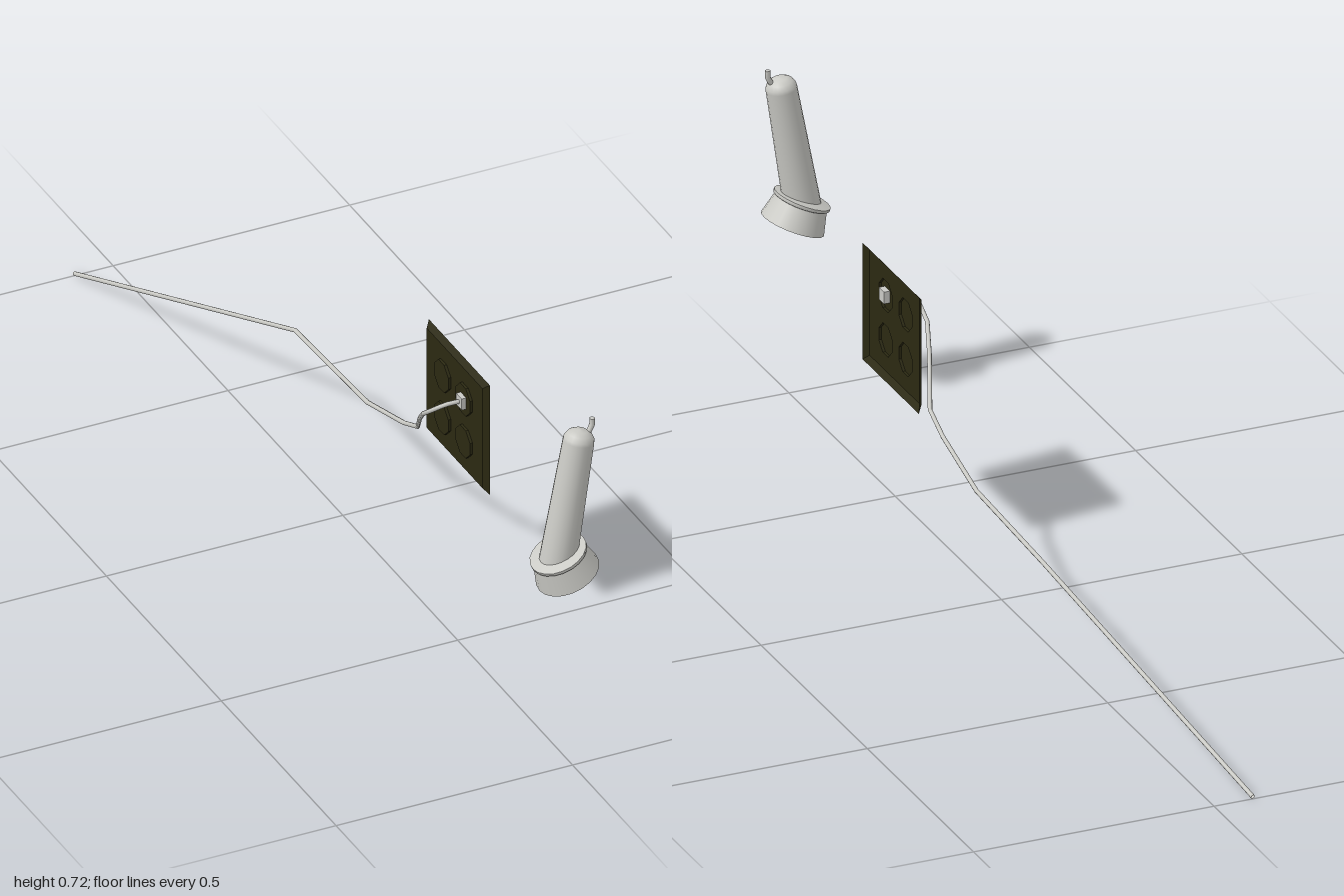
import * as THREE from 'three';

// Straight-segment path whose corners are mitred when swept as a tube
class Polyline extends THREE.Curve {
  constructor(points) {
    super();
    this.points = points.map((p) => new THREE.Vector3(...p));
  }
  getPoint(t, target = new THREE.Vector3()) {
    const n = this.points.length - 1;
    const i = Math.min(Math.floor(t * n + 1e-6), n - 1);
    return target.lerpVectors(this.points[i], this.points[i + 1], t * n - i);
  }
  getPointAt(t, target) { return this.getPoint(t, target); }
  getTangentAt(t, target = new THREE.Vector3()) {
    const p = this.points, n = p.length - 1, i = Math.round(t * n);
    const step = (a) => new THREE.Vector3().subVectors(p[a + 1], p[a]).normalize();
    return target.copy(step(Math.max(i - 1, 0))).add(step(Math.min(i, n - 1))).normalize();
  }
}

export function createModel() {
  const model = new THREE.Group();
  const grey = new THREE.MeshStandardMaterial({ color: 0xcacac5, side: THREE.DoubleSide });
  grey.name = 'pale grey';
  const olive = new THREE.MeshStandardMaterial({ color: 0x2b2912, side: THREE.DoubleSide });
  olive.name = 'dark olive';

  const add = (parent, name, geometry, material, position = [0, 0, 0]) => {
    const mesh = new THREE.Mesh(geometry, material);
    mesh.name = name;
    mesh.position.set(...position);
    parent.add(mesh);
    return mesh;
  };
  const lathe = (points, sides) =>
    new THREE.LatheGeometry(points.map((p) => new THREE.Vector2(...p)), sides);
  const sweep = (points, radius, sides) =>
    new THREE.TubeGeometry(new Polyline(points), points.length - 1, radius, sides);

  // Handheld piece: domed handle, tilted collar and open flared cup
  const handset = new THREE.Group();
  handset.name = 'handset';
  handset.position.z = 0.935;
  model.add(handset);

  const handleGeometry = lathe([
    [0.036, 0], [0.0305, 0.243], [0.0295, 0.25], [0.024, 0.259], [0.014, 0.265], [0, 0.267],
  ], 20);
  // Slant the handle's lower end to meet the tilted collar
  const pos = handleGeometry.attributes.position;
  for (let i = 0; i < pos.count; i++) {
    if (pos.getY(i) < 0.001) pos.setY(i, pos.getX(i) * 0.62);
  }
  const handle = add(handset, 'handle', handleGeometry, grey, [0.003, 0.44, 0]);
  handle.rotation.z = -0.171;

  const head = new THREE.Group();
  head.name = 'head';
  head.position.set(0.021, 0.39, 0);
  head.rotation.z = 0.39;
  handset.add(head);
  add(head, 'cup', lathe([[0.0645, 0], [0.053, 0.046]], 20), grey);
  add(head, 'collarEdge', lathe([[0.053, 0.046], [0.0575, 0.048], [0.0575, 0.054]], 20), grey);
  add(head, 'collarTop', lathe([[0.0575, 0.054], [0.035, 0.057]], 20), grey);

  // Little bent stub on top
  add(handset, 'stub', sweep(
    [[0.055, 0.685, 0], [0.067, 0.696, 0], [0.073, 0.708, 0], [0.073, 0.722, 0]], 0.0055, 8), grey);
  const stubCap = add(handset, 'stubCap', new THREE.CircleGeometry(0.0055, 8), grey, [0.073, 0.722, 0]);
  stubCap.rotation.x = -Math.PI / 2;

  // Wall plate: hollow shell facing -x, open at the back
  const plate = new THREE.Group();
  plate.name = 'wallPlate';
  plate.position.set(0.07, 0.4275, 0.363);
  plate.rotation.y = -Math.PI / 2;
  model.add(plate);

  const w = 0.1325, h = 0.1225, inset = 0.011, depth = 0.01;
  const fw = w - inset, fh = h - inset;
  const face = new THREE.Shape([[-fw, -fh], [fw, -fh], [fw, fh], [-fw, fh]]
    .map((p) => new THREE.Vector2(...p)));

  // Four raised octagonal sockets, hollow behind
  const r = 0.031, gap = 0.047, rise = 0.0055;
  for (const sx of [-1, 1]) {
    for (const sy of [-1, 1]) {
      const corners = [];
      for (let i = 0; i < 8; i++) {
        const a = (i + 0.5) * Math.PI / 4;
        const c = r / Math.cos(Math.PI / 8);
        corners.push(new THREE.Vector2(sx * gap + c * Math.cos(a), sy * gap + c * Math.sin(a)));
      }
      face.holes.push(new THREE.Path(corners));
      add(plate, 'socketFace', new THREE.ShapeGeometry(new THREE.Shape(corners)), olive,
        [0, 0, depth + rise]);
      const wall = new THREE.CylinderGeometry(r / Math.cos(Math.PI / 8), r / Math.cos(Math.PI / 8),
        rise, 8, 1, true, Math.PI / 8).toNonIndexed();
      wall.computeVertexNormals();
      wall.rotateX(Math.PI / 2);
      add(plate, 'socketWall', wall, olive, [sx * gap, sy * gap, depth + rise / 2]);
    }
  }
  add(plate, 'plateFace', new THREE.ShapeGeometry(face), olive, [0, 0, depth]);

  // Sloping rim from the face out to the wall
  const outer = [[-w, -h], [w, -h], [w, h], [-w, h]];
  const inner = [[-fw, -fh], [fw, -fh], [fw, fh], [-fw, fh]];
  const rim = [];
  for (let i = 0; i < 4; i++) {
    const j = (i + 1) % 4;
    const a = [...outer[i], 0], b = [...outer[j], 0];
    const c = [...inner[j], depth], d = [...inner[i], depth];
    rim.push(...a, ...b, ...c, ...a, ...c, ...d);
  }
  const rimGeometry = new THREE.BufferGeometry();
  rimGeometry.setAttribute('position', new THREE.Float32BufferAttribute(rim, 3));
  rimGeometry.computeVertexNormals();
  add(plate, 'plateRim', rimGeometry, olive);

  // Plug and trailing cord
  add(model, 'plug', new THREE.BoxGeometry(0.022, 0.025, 0.024), grey, [0.056, 0.474, 0.413]);
  add(model, 'cord', sweep([
    [0.048, 0.474, 0.412], [0.022, 0.474, 0.411], [0.008, 0.468, 0.405], [-0.002, 0.453, 0.388],
    [-0.004, 0.43, 0.358], [0.014, 0.387, 0.307], [0.049, 0.312, 0.225], [0.051, 0.284, 0.16],
    [0.052, 0.24, 0], [0.052, 0.225, -0.315], [-0.081, 0.005, -1],
  ], 0.0045, 8), grey);

  return model;
}
